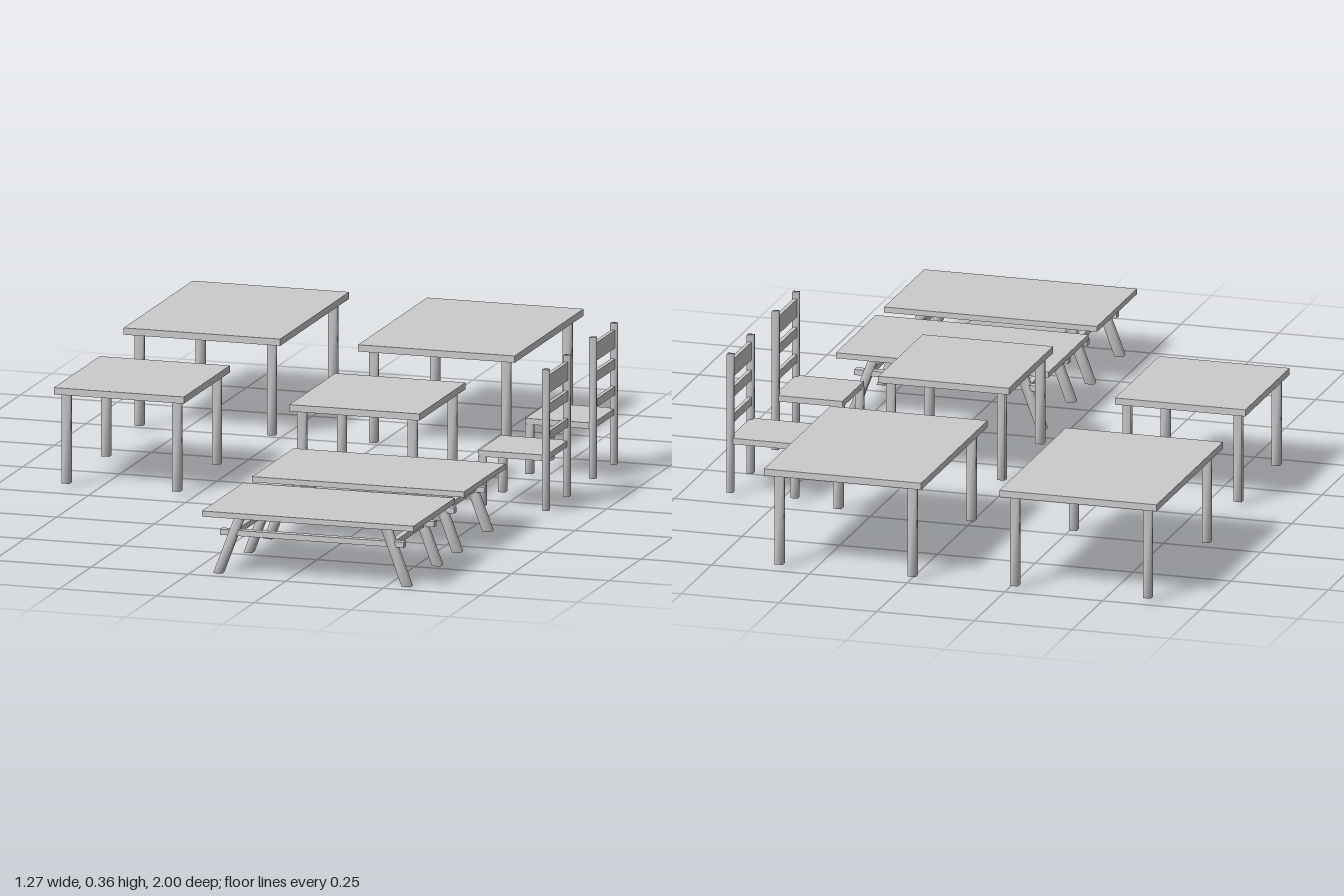
import * as THREE from 'three';
import { mergeVertices } from 'three/addons/utils/BufferGeometryUtils.js';

const material = new THREE.MeshStandardMaterial({ color: 0xcccccc });

// Box given by its extents on each axis
function box(parent, name, [x0, x1], [y0, y1], [z0, z1]) {
  const mesh = new THREE.Mesh(new THREE.BoxGeometry(x1 - x0, y1 - y0, z1 - z0), material);
  mesh.position.set((x0 + x1) / 2, (y0 + y1) / 2, (z0 + z1) / 2);
  mesh.name = name;
  parent.add(mesh);
  return mesh;
}

// Square post with softened shading; its foot may be shifted along x to splay it
function post(parent, name, x, z, y0, y1, size, footShift = 0) {
  let geometry = new THREE.BoxGeometry(size, y1 - y0, size);
  geometry.deleteAttribute('normal');
  geometry.deleteAttribute('uv');
  geometry = mergeVertices(geometry);
  const p = geometry.attributes.position;
  for (let i = 0; i < p.count; i++) {
    if (p.getY(i) < 0) p.setX(i, p.getX(i) + footShift);
  }
  geometry.computeVertexNormals();
  const mesh = new THREE.Mesh(geometry, material);
  mesh.position.set(x, (y0 + y1) / 2, z);
  mesh.name = name;
  parent.add(mesh);
}

function group(parent, name, x, z) {
  const g = new THREE.Group();
  g.name = name;
  g.position.set(x, 0, z);
  parent.add(g);
  return g;
}

// Four-legged table centred on x, z
function table(parent, name, x, z, width, depth, top, inset) {
  const g = group(parent, name, x, z);
  const w = width / 2, d = depth / 2;
  box(g, 'tableTop', [-w, w], [top - 0.017, top], [-d, d]);
  for (const sx of [-1, 1]) for (const sz of [-1, 1]) {
    post(g, 'tableLeg', sx * (w - inset), sz * (d - inset), 0.01, top - 0.017, 0.02);
  }
}

// Low table on splayed legs joined by rails
function lowTable(parent, x, z) {
  const g = group(parent, 'lowTable', x, z);
  box(g, 'lowTableTop', [-0.272, 0.272], [0.147, 0.161], [-0.164, 0.164]);
  for (const s of [-1, 1]) {
    for (const legZ of [-0.118, 0.122]) {
      post(g, 'splayedLeg', s * 0.186, legZ, 0, 0.148, 0.022, s * 0.056);
    }
    box(g, 'crossRail', [s * 0.203 - 0.008, s * 0.203 + 0.008], [0.097, 0.111], [-0.118, 0.122]);
  }
  for (const railZ of [-0.118, 0.122]) {
    box(g, 'longRail', [-0.236, 0.236], [0.097, 0.111], [railZ - 0.01, railZ + 0.01]);
  }
}

// Ladder-back chair facing -x
function chair(parent, x, z) {
  const g = group(parent, 'chair', x, z);
  box(g, 'seat', [-0.088, 0.086], [0.134, 0.149], [-0.088, 0.088]);
  for (const s of [-1, 1]) {
    post(g, 'frontLeg', -0.08, s * 0.08, 0.01, 0.135, 0.018);
    post(g, 'backPost', 0.084, s * 0.083, 0.01, 0.363, 0.016);
  }
  for (const [y0, y1] of [[0.302, 0.347], [0.25, 0.275], [0.185, 0.206]]) {
    box(g, 'backSlat', [0.079, 0.089], [y0, y1], [-0.08, 0.08]);
  }
}

export function createModel() {
  const model = new THREE.Group();
  model.name = 'furnitureSet';

  for (const x of [-0.437, 0.165]) table(model, 'largeTable', x, -0.727, 0.402, 0.546, 0.258, 0.031);
  for (const x of [-0.438, 0.167]) table(model, 'smallTable', x, 0.018, 0.334, 0.364, 0.252, 0.025);
  for (const z of [0.438, 0.836]) lowTable(model, 0.307, z);
  for (const z of [-0.354, 0.018]) chair(model, 0.543, z);

  return model;
}
